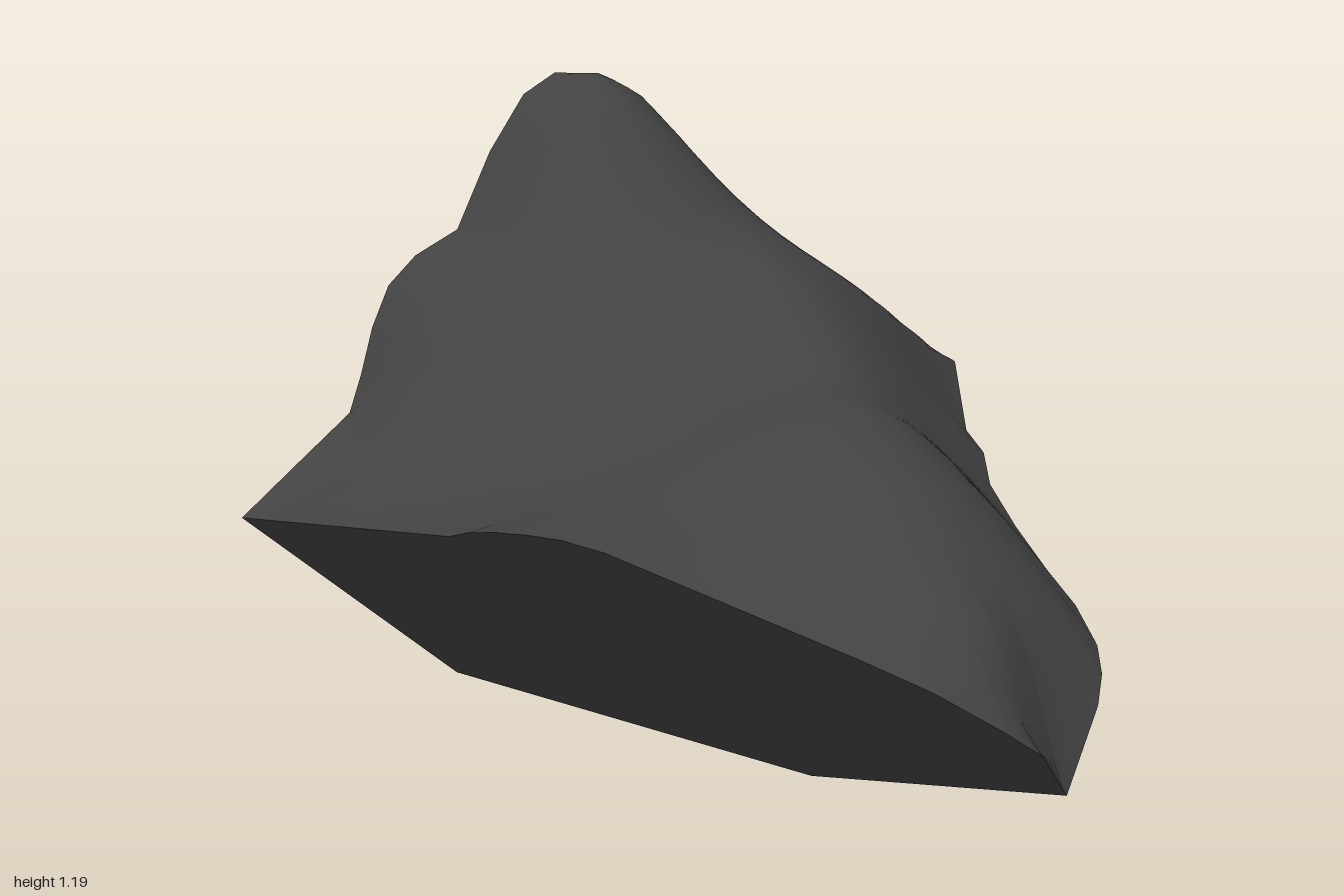
import * as THREE from 'three';

const V = (p) => new THREE.Vector3(...p);

// Planes of the front cut (gives z), the back-right cut (gives y) and the left cut (gives x)
const frontCut = ([x, y]) => V([x, y, 0.095 + 1.11 * y - 0.066 * x]);
const backCut = ([x, z]) => V([x, 0.033 + 0.426 * x - 1.077 * z, z]);
const leftCut = ([z, y]) => V([-0.819 - 0.10 * y - 0.254 * z, y, z]);

// Rim of the weathered top, counter-clockwise from above
const frontRim = [[-1, 0.36], [-0.8, 0.39], [-0.6, 0.42], [-0.4, 0.45], [-0.2, 0.48], [-0.1, 0.51], [0, 0.53],
  [0.1, 0.545], [0.2, 0.555], [0.3, 0.55], [0.45, 0.51], [0.6, 0.47], [0.75, 0.43], [0.87, 0.39], [0.96, 0.33],
  [1, 0.29], [0.975, 0.24], [0.95, 0.19]].map(frontCut);
const backRim = [[0.88, 0.1], [0.84, 0.05], [0.78, 0], [0.65, -0.08], [0.5, -0.16], [0.32, -0.26], [0.15, -0.36],
  [0.06, -0.43], [-0.05, -0.49], [-0.15, -0.57], [-0.25, -0.65], [-0.44, -0.7]].map(backCut);
const cornerRim = [[-0.6, 0.72, -0.61], [-0.77, 0.84, -0.51]].map(V);
const leftRim = [[-0.45, 0.93], [-0.38, 1.04], [-0.31, 1.14], [-0.22, 1.18], [-0.15, 1.19], [-0.08, 1.15], [0, 1.04],
  [0.08, 0.89], [0.17, 0.845], [0.23, 0.79], [0.27, 0.71], [0.3, 0.62], [0.33, 0.545], [0.45, 0.45]].map(leftCut);
const rim = [...frontRim, ...backRim, ...cornerRim, ...leftRim];

// Height marks inside the rim: x, y, z
const marks = [
  [-0.82, 1.195, -0.18], [-0.72, 1.14, -0.2], [-0.6, 1.03, -0.2], [-0.45, 0.91, -0.2], [-0.3, 0.87, -0.2],
  [-0.15, 0.80, -0.2], [0, 0.725, -0.15], [0.25, 0.685, 0], [0.5, 0.62, 0.14], [0.25, 0.635, 0.3],
  [0.25, 0.565, 0.52], [0.22, 0.56, 0.61], [0.5, 0.59, 0.3], [0.7, 0.525, 0.22], [0.86, 0.41, 0.28],
  [-0.1, 0.6, 0.3], [-0.1, 0.54, 0.47], [-0.45, 0.83, -0.45], [-0.2, 0.72, -0.45], [0.1, 0.6, -0.25],
  [0.5, 0.55, -0.03], [0.75, 0.45, 0.1], [-0.75, 0.81, 0.13], [-0.75, 0.6, 0.3], [-0.6, 0.78, 0.12],
  [-0.6, 0.63, 0.27], [-0.45, 0.56, 0.33], [-0.6, 0.49, 0.45], [-0.35, 0.72, 0.08], [-0.22, 0.66, 0.18],
  [-0.1, 0.68, 0.08], [-0.7, 0.98, -0.02],
].map(V);

// Smooth thin-plate surface through all points; returns a height function of x and z
function fitSurface(pts) {
  const n = pts.length, size = n + 3;
  const kernel = (dx, dz) => { const d = dx * dx + dz * dz; return d > 1e-12 ? d * Math.log(d) : 0; };
  const row = (x, z) => [...pts.map((p) => kernel(x - p.x, z - p.z)), 1, x, z];
  const m = pts.map((p, i) => {
    const r = row(p.x, p.z);
    r[i] += 0.002;
    return [...r, p.y];
  });
  for (const f of [() => 1, (p) => p.x, (p) => p.z]) m.push([...pts.map(f), 0, 0, 0, 0]);
  for (let c = 0; c < size; c++) {
    let best = c;
    for (let r = c + 1; r < size; r++) if (Math.abs(m[r][c]) > Math.abs(m[best][c])) best = r;
    [m[c], m[best]] = [m[best], m[c]];
    for (let r = 0; r < size; r++) {
      if (r === c) continue;
      const f = m[r][c] / m[c][c];
      for (let k = c; k <= size; k++) m[r][k] -= f * m[c][k];
    }
  }
  const w = m.map((r, i) => r[size] / r[i]);
  return (x, z) => row(x, z).reduce((sum, v, i) => sum + v * w[i], 0);
}

// Top: rings growing from a centre out to the rim, lifted onto the fitted surface
function topGeometry() {
  const height = fitSurface([...rim, ...marks]);
  const edge = rim.flatMap((p, i) => {
    const q = rim[(i + 1) % rim.length];
    return [0, 1 / 3, 2 / 3].map((t) => p.clone().lerp(q, t));
  });
  const rings = 30, n = edge.length, cx = -0.1, cz = 0.02;
  const pos = [cx, height(cx, cz), cz], index = [];
  const gap = edge.map((p) => p.y - height(p.x, p.z));
  for (let r = 1; r <= rings; r++) {
    const t = r / rings;
    edge.forEach((p, i) => {
      const x = cx + (p.x - cx) * t, z = cz + (p.z - cz) * t;
      pos.push(x, height(x, z) + gap[i] * t ** 8, z);
      const j = (i + 1) % n, a = 1 + (r - 1) * n, b = a - n;
      if (r === 1) index.push(0, a + i, a + j);
      else index.push(b + i, a + i, a + j, b + i, a + j, b + j);
    });
  }
  const g = new THREE.BufferGeometry();
  g.setAttribute('position', new THREE.Float32BufferAttribute(pos, 3));
  g.setIndex(index);
  g.computeVertexNormals();
  return g;
}

// Flat cut: a fan from one corner to a run of points
function cutGeometry(hub, run) {
  const pts = [];
  for (let i = 0; i + 1 < run.length; i++) pts.push(hub, run[i + 1], run[i]);
  const g = new THREE.BufferGeometry().setFromPoints(pts);
  g.computeVertexNormals();
  return g;
}

export function createModel() {
  const group = new THREE.Group();
  group.name = 'rock';
  const add = (name, geometry, flatShading) => {
    const mesh = new THREE.Mesh(geometry, new THREE.MeshStandardMaterial({ color: 0x424242, flatShading }));
    mesh.name = name;
    group.add(mesh);
  };

  // Lower corners of the broken underside
  const keelFront = V([0.15, 0.005, 0.09]), keelLeft = V([-0.86, 0, 0.152]);
  const heelBack = V([-0.575, 0.19, -0.37]), heelLeft = V([-0.78, 0.1, -0.11]);
  const tip = frontRim.at(-1), backCorner = backRim.at(-1), sideCorner = cornerRim.at(-1);

  add('weatheredTop', topGeometry(), false);
  add('frontCut', cutGeometry(keelFront, [keelLeft, ...frontRim]), true);
  add('backCut', cutGeometry(keelFront, [tip, ...backRim, heelBack]), true);
  add('cornerCut', cutGeometry(heelLeft, [heelBack, backCorner, ...cornerRim]), true);
  add('sideCut', cutGeometry(keelLeft, [heelLeft, sideCorner, ...leftRim, frontRim[0]]), true);
  add('underside', cutGeometry(keelFront, [heelBack, heelLeft, keelLeft]), true);
  return group;
}
